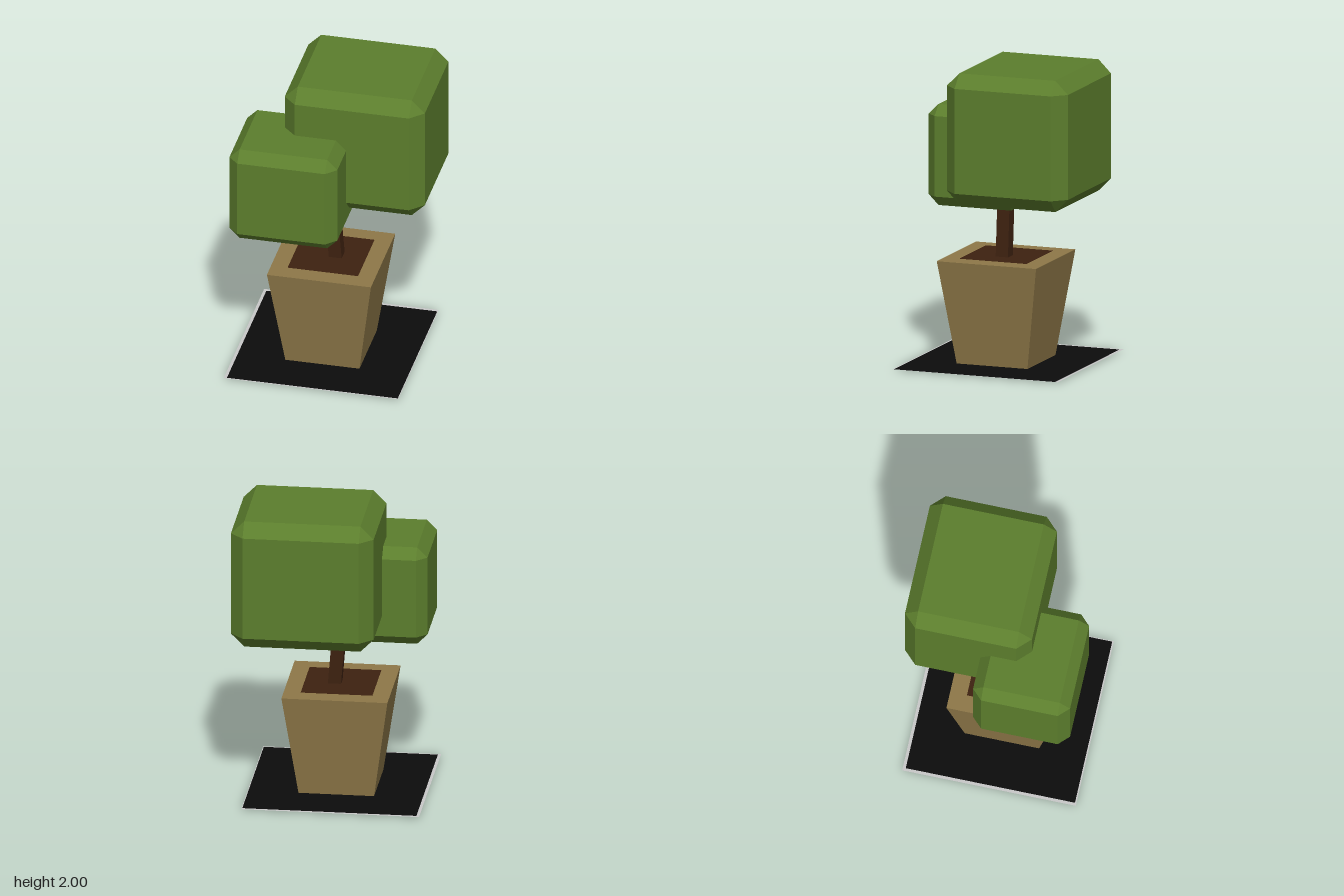
import * as THREE from 'three';
import { ConvexGeometry } from 'three/addons/geometries/ConvexGeometry.js';

const material = (name, color, side = THREE.FrontSide) => {
  const m = new THREE.MeshStandardMaterial({ color, side });
  m.name = name;
  return m;
};

// Box spanning y0..y1 whose ends have their own size and centre: [half, cx, cz]
function taperedBox(bottom, top, y0, y1) {
  const geo = new THREE.BoxGeometry(2, 1, 2);
  const p = geo.attributes.position;
  for (let i = 0; i < p.count; i++) {
    const up = p.getY(i) > 0;
    const [half, cx, cz] = up ? top : bottom;
    p.setXYZ(i, cx + p.getX(i) * half, up ? y1 : y0, cz + p.getZ(i) * half);
  }
  geo.computeVertexNormals();
  return geo;
}

// Box with flat chamfered edges and triangular corners
function chamferBox(min, max, b) {
  const pts = [];
  for (let corner = 0; corner < 8; corner++) {
    for (let outer = 0; outer < 3; outer++) {
      const v = [0, 1, 2].map((a) => {
        const inset = a === outer ? 0 : b;
        return corner & (1 << a) ? max[a] - inset : min[a] + inset;
      });
      pts.push(new THREE.Vector3(...v));
    }
  }
  return new ConvexGeometry(pts);
}

// Horizontal rectangle facing up, optionally with a rectangular hole
function flatRect([x0, x1, z0, z1], y, hole) {
  const corners = (a, b, c, d) =>
    [[a, -d], [b, -d], [b, -c], [a, -c]].map(([x, v]) => new THREE.Vector2(x, v));
  const shape = new THREE.Shape(corners(x0, x1, z0, z1));
  if (hole) shape.holes.push(new THREE.Path(corners(...hole)));
  return new THREE.ShapeGeometry(shape).rotateX(-Math.PI / 2).translate(0, y, 0);
}

export function createModel() {
  const group = new THREE.Group();
  group.name = 'pottedTree';

  const leaf = material('leaf green', 0x5c7e2d);
  const clay = material('clay tan', 0x8e7848);
  const bark = material('bark brown', 0x3d2110);
  const black = material('mat black', 0x0c0c0c, THREE.DoubleSide);
  const grey = material('mat border grey', 0xc8c8c8, THREE.DoubleSide);

  const add = (name, geo, mat) => {
    const mesh = new THREE.Mesh(geo, mat);
    mesh.name = name;
    group.add(mesh);
  };

  // Ground mat with a pale border
  const inner = [-0.6, 0.54, -0.525, 0.6];
  add('mat', flatRect(inner, 0.006), black);
  add('matBorder', flatRect([-0.62, 0.545, -0.545, 0.61], 0.006, inner), grey);

  // Tapered square pot, its dark underside and the soil
  const cx = -0.035, cz = 0.045;
  const square = (h) => [cx - h, cx + h, cz - h, cz + h];
  add('pot', taperedBox([0.247, cx, cz], [0.347, cx, cz], 0.003, 0.695), clay);
  add('potUnderside', flatRect(square(0.238), 0), black);
  add('soil', flatRect(square(0.235), 0.699), bark);

  // Leaning trunk running up into the foliage
  add('trunk', taperedBox([0.043, 0.003, 0.043], [0.043, -0.046, 0.043], 0.69, 1.3), bark);

  // Chamfered foliage blocks
  add('largeFoliage', chamferBox([-0.32, 1.13, -0.61], [0.615, 2, 0.235], 0.087), leaf);
  add('smallFoliage', chamferBox([-0.61, 1.01, -0.09], [0.11, 1.68, 0.555], 0.068), leaf);

  return group;
}
